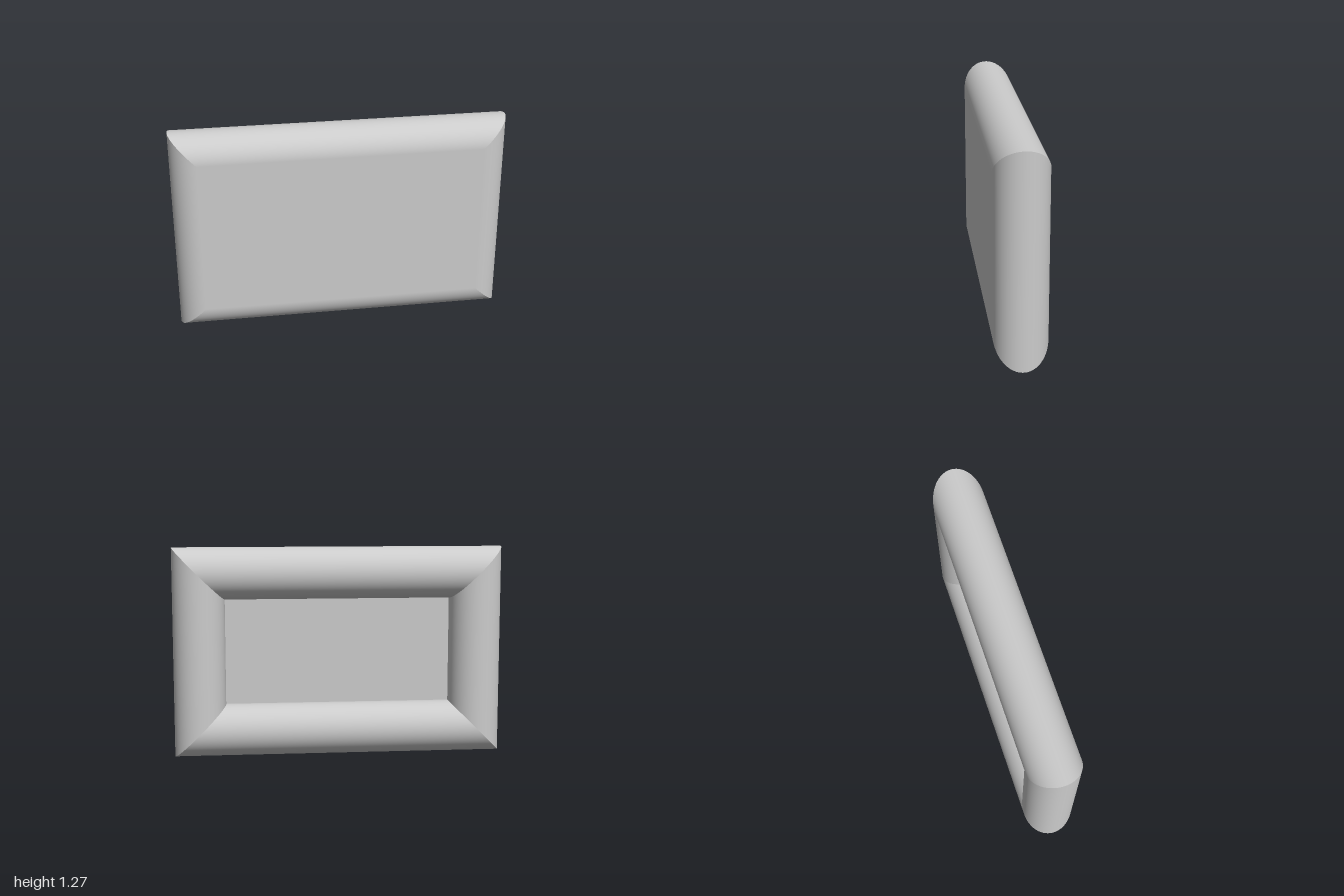
import * as THREE from 'three';

const R = 0.157;           // tube radius
const HX = 1 - R;          // tube centre line, half width
const HY = 0.635 - R;      // tube centre line, half height

// Round bar along y with 45 degree mitred ends; local +x is the outer side
function mitredBar(halfLength) {
  const geo = new THREE.CylinderGeometry(R, R, 1, 96, 1, true);
  const p = geo.attributes.position;
  for (let i = 0; i < p.count; i++) {
    p.setY(i, Math.sign(p.getY(i)) * (halfLength + p.getX(i)));
  }
  return geo;
}

export function createModel() {
  const model = new THREE.Group();
  model.name = 'framedPanel';
  const material = new THREE.MeshStandardMaterial({ color: 0xcccccc, side: THREE.DoubleSide });

  // Four bars meeting at the mitred corners
  const names = ['leftBar', 'topBar', 'rightBar', 'bottomBar'];
  names.forEach((name, i) => {
    const upright = i % 2 === 0;
    const angle = i * Math.PI / 2;
    const bar = new THREE.Mesh(mitredBar(upright ? HY : HX), material);
    bar.name = name;
    bar.rotation.z = angle;
    bar.position.set(Math.cos(angle) * HX, 0.635 + Math.sin(angle) * HY, 0);
    model.add(bar);
  });

  // Thin sheet flush with the front of the bars, open recess behind it
  const panel = new THREE.Mesh(new THREE.PlaneGeometry(2 * HX, 2 * HY), material);
  panel.name = 'frontPanel';
  panel.position.set(0, 0.635, R);
  model.add(panel);

  return model;
}
